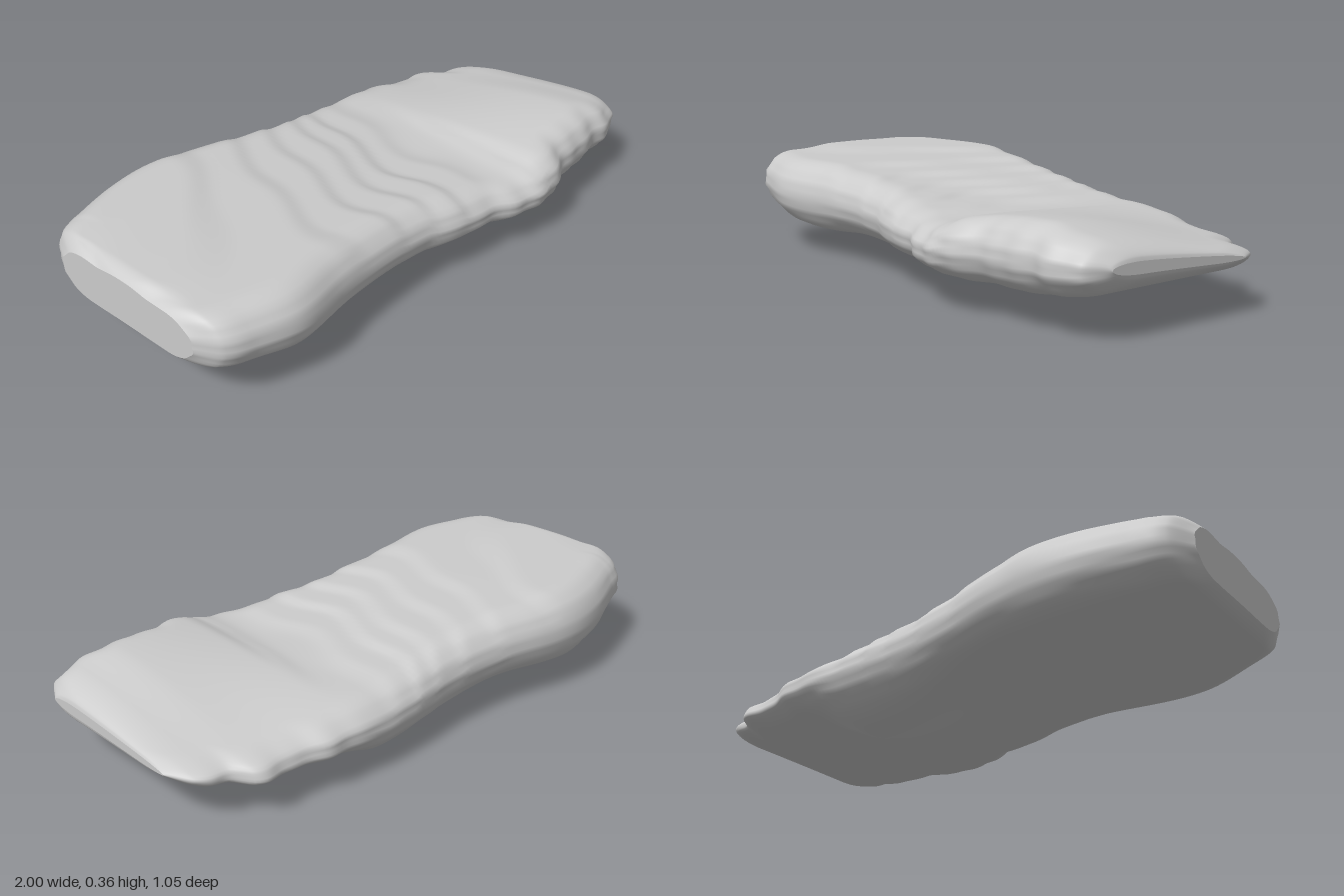
import * as THREE from 'three';

// Smooth curve through [x, value] points
function curve(points) {
  const slope = (i) => {
    const a = points[Math.max(i - 1, 0)], b = points[Math.min(i + 1, points.length - 1)];
    return (b[1] - a[1]) / (b[0] - a[0]);
  };
  return (x) => {
    let i = 0;
    while (i < points.length - 2 && x > points[i + 1][0]) i++;
    const [x0, y0] = points[i], [x1, y1] = points[i + 1];
    const d = x1 - x0, t = THREE.MathUtils.clamp((x - x0) / d, 0, 1), t2 = t * t, t3 = t2 * t;
    return (2 * t3 - 3 * t2 + 1) * y0 + (t3 - 2 * t2 + t) * d * slope(i)
      + (3 * t2 - 2 * t3) * y1 + (t3 - t2) * d * slope(i + 1);
  };
}

// Plan outline
const backEdge = curve([[-1, -0.34], [-0.95, -0.42], [-0.85, -0.46], [-0.7, -0.51], [-0.55, -0.53], [-0.4, -0.51],
  [-0.2, -0.46], [0, -0.435], [0.2, -0.44], [0.4, -0.44], [0.55, -0.42], [0.65, -0.39], [0.8, -0.37],
  [0.85, -0.32], [0.95, -0.27], [1, -0.18]]);
const frontEdge = curve([[-1, 0.25], [-0.95, 0.33], [-0.85, 0.37], [-0.7, 0.405], [-0.5, 0.38], [-0.3, 0.375],
  [-0.1, 0.39], [0, 0.42], [0.2, 0.46], [0.3, 0.5], [0.38, 0.52], [0.5, 0.5], [0.6, 0.475], [0.8, 0.47],
  [0.95, 0.44], [1, 0.37]]);

// Heights along the slab
const topFront = curve([[-1, 0.335], [-0.9, 0.345], [-0.55, 0.34], [-0.3, 0.325], [0, 0.29], [0.2, 0.264],
  [0.35, 0.262], [0.45, 0.295], [0.75, 0.32], [0.9, 0.295], [1, 0.28]]);
const topBack = curve([[-1, 0.355], [-0.9, 0.368], [-0.55, 0.355], [-0.3, 0.335], [0, 0.3], [0.2, 0.266],
  [0.35, 0.255], [0.5, 0.24], [0.7, 0.21], [0.9, 0.19], [1, 0.19]]);
const underside = curve([[-1, 0.15], [-0.8, 0.12], [-0.55, 0.09], [-0.3, 0.105], [0, 0.1], [0.3, 0.102],
  [0.5, 0.1], [0.7, 0.1], [0.9, 0.125], [1, 0.15]]);

const smooth = THREE.MathUtils.smoothstep;

// Upper face: bedding layers that step down, then a raised front corner
function topHeight(x, z) {
  const wobble = 0.05 * Math.sin(5 * z + 1) + 0.02 * Math.sin(17 * z + 4 * x);
  const xs = THREE.MathUtils.clamp(x + wobble * (1 - smooth(x, 0.2, 0.4)), -1, 1);
  const h = THREE.MathUtils.lerp(topBack(xs), topFront(xs), smooth(z, -0.45, 0.4));
  const step = 0.018, q = Math.floor(h / step), f = h / step - q;
  const stepped = (q + smooth(f, 0.3, 0.7)) * step;
  return THREE.MathUtils.lerp(stepped, h, 0.3 + 0.7 * smooth(x, 0.3, 0.45));
}

// Lower face: shallow, with a keel near the back
function bottomHeight(x, z) {
  const dx = (x - 0.28) / (x < 0.28 ? 0.35 : 0.14), dz = (z + 0.23) / 0.2;
  return underside(x) - 0.1 * Math.exp(-dx * dx - dz * dz);
}

// Rounded edge profile running front to back: [position -1..1, flat inset share, height share]
function edgeProfile() {
  const list = [], arc = 9, flat = 32;
  for (let i = 0; i < arc; i++) {
    const a = (i / arc) * Math.PI / 2;
    list.push({ side: 1, inset: 1 - Math.cos(a), rise: Math.sin(a) });
  }
  for (let i = 0; i <= flat; i++) list.push({ across: 1 - (2 * i) / flat, rise: 1 });
  for (let i = arc - 1; i >= 0; i--) list.push({ ...list[i], side: -1 });
  return list;
}

function slabGeometry() {
  const half = edgeProfile();
  const ring = [...half.map((p) => ({ ...p, up: true })),
    ...half.slice(1, -1).reverse().map((p) => ({ ...p, up: false }))];
  const n = ring.length, stations = 170, pos = [], index = [];

  for (let i = 0; i <= stations; i++) {
    // Stations crowd towards both ends
    const s = (2 * i) / stations - 1;
    const x = 0.6 * s + 0.4 * Math.sin(s * Math.PI / 2) * (1.5 - 0.5 * s * s);
    const chip = 0.005 * Math.sin(31 * x) + 0.004 * Math.sin(53 * x + 1);
    const front = frontEdge(x) + chip * smooth(x, -0.1, 0.3);
    const back = backEdge(x) + chip * smooth(x, 0.3, 0.7);
    const r = 0.12;
    // Left end is cut nearly square, right end is rounded
    const eL = Math.max(0, (-0.95 - x) / 0.05), eR = Math.max(0, (x - 0.9) / 0.1);
    const end = (1 - 0.2 * eL * eL) * (0.3 + 0.7 * Math.sqrt(Math.max(0, 1 - eR * eR)));

    for (const p of ring) {
      let z;
      if (p.side === 1) z = front - r * p.inset;
      else if (p.side === -1) z = back + r * p.inset;
      else z = THREE.MathUtils.mapLinear(p.across, -1, 1, back + r, front - r);
      const top = topHeight(x, z), bottom = bottomHeight(x, z);
      const mid = (top + bottom) / 2, h = (top - bottom) / 2 * end;
      const y = mid + (p.up ? 1 : -1) * h * p.rise;
      // Fine layering on the sides
      if (p.side) z += p.side * 0.004 * Math.sin(y * 130 + 3 * x) * (1 - p.inset);
      pos.push(x, y, z);
    }
  }

  for (let i = 0; i < stations; i++) {
    for (let j = 0; j < n; j++) {
      const k = (j + 1) % n;
      const a = i * n + j, b = i * n + k, c = a + n, d = b + n;
      index.push(a, c, b, b, c, d);
    }
  }

  // End faces, with their own corners so the rim stays crisp
  for (const [station, flip] of [[0, false], [stations, true]]) {
    const start = pos.length / 3, first = station * n * 3;
    const rim = pos.slice(first, first + n * 3);
    const centre = [0, 0, 0];
    rim.forEach((v, i) => { centre[i % 3] += v / n; });
    pos.push(...rim, ...centre);
    for (let j = 0; j < n; j++) {
      const a = start + j, b = start + (j + 1) % n;
      index.push(start + n, flip ? b : a, flip ? a : b);
    }
  }

  const geometry = new THREE.BufferGeometry();
  geometry.setAttribute('position', new THREE.Float32BufferAttribute(pos, 3));
  geometry.setIndex(index);
  geometry.computeVertexNormals();
  return geometry;
}

export function createModel() {
  const group = new THREE.Group();
  group.name = 'rock';
  const slab = new THREE.Mesh(slabGeometry(), new THREE.MeshStandardMaterial({ color: 0xcccccc }));
  slab.name = 'stoneSlab';
  group.add(slab);
  return group;
}
